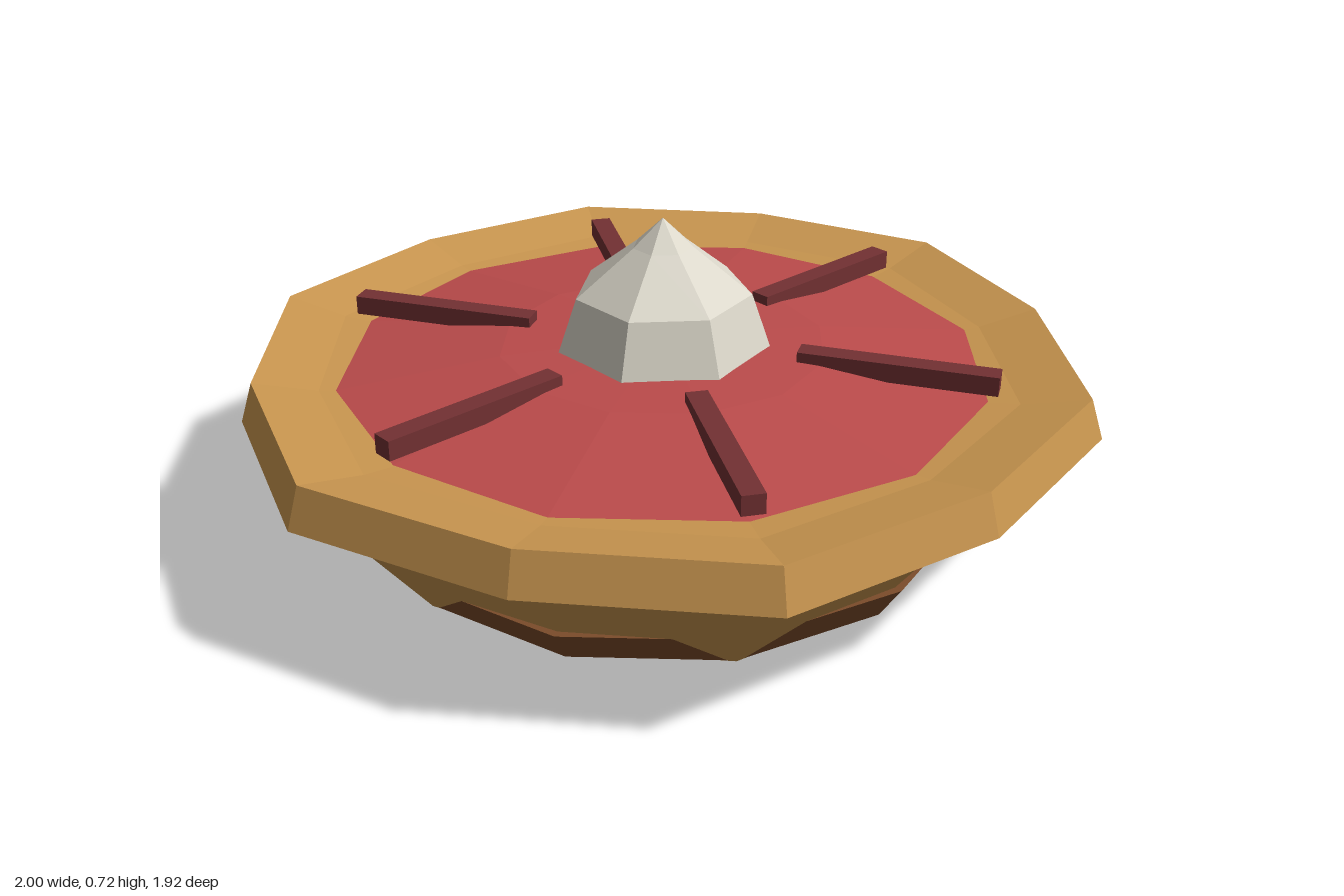
import * as THREE from 'three';

const material = (name, color) => {
  const m = new THREE.MeshStandardMaterial({ color });
  m.name = name;
  return m;
};

// Faceted surface of revolution; profile runs [radius, y] from bottom to top
function facetedLathe(profile, sides, start = 0, oddScale = 1) {
  const points = profile.map(([r, y]) => new THREE.Vector2(r, y));
  const geo = new THREE.LatheGeometry(points, sides, start);
  const pos = geo.attributes.position;
  // every second corner is pulled in a little for a hand-pinched outline
  for (let i = 0; i < pos.count; i++) {
    const side = Math.floor(i / points.length);
    if (side % 2 === 0) pos.setXYZ(i, pos.getX(i) * oddScale, pos.getY(i), pos.getZ(i) * oddScale);
  }
  const flat = geo.toNonIndexed();
  flat.computeVertexNormals();
  return flat;
}

export function createModel() {
  const crustMat = material('golden crust', 0xc8954f);
  const baseMat = material('baked brown', 0x7c4c2a);
  const fillingMat = material('red filling', 0xbb4b4b);
  const stripMat = material('dark red strip', 0x733133);
  const creamMat = material('cream', 0xdad6c9);

  const model = new THREE.Group();
  model.name = 'tart';
  const add = (name, geo, mat) => {
    const mesh = new THREE.Mesh(geo, mat);
    mesh.name = name;
    model.add(mesh);
    return mesh;
  };

  // Crust: bowl, overhanging rim and inner lip in one profile
  add('crust', facetedLathe([
    [0, 0], [0.68, 0], [0.905, 0.295], [1, 0.32], [0.97, 0.412],
    [0.82, 0.378], [0.7, 0.366], [0, 0.36],
  ], 12, 0, 0.96), crustMat);

  // Baked band, showing between the corners of the bowl
  add('baseBand', facetedLathe([
    [0, 0.002], [0.68, 0.002], [0.737, 0.09], [0, 0.09],
  ], 12), baseMat);

  // Slightly domed filling
  add('filling', facetedLathe([[0.75, 0.374], [0.38, 0.42], [0, 0.434]], 12), fillingMat);

  // Radial strips
  const strips = new THREE.Group();
  strips.name = 'strips';
  for (let i = 0; i < 6; i++) {
    const angle = (i * Math.PI) / 3;
    const strip = new THREE.Mesh(new THREE.BoxGeometry(0.45, 0.045, 0.05), stripMat);
    strip.name = 'strip';
    strip.position.set(Math.cos(angle) * 0.547, 0.423, -Math.sin(angle) * 0.547);
    strip.rotation.y = angle;
    strips.add(strip);
  }
  model.add(strips);

  // Peaked cream dollop
  add('creamDollop', facetedLathe([
    [0, 0.4], [0.25, 0.42], [0.205, 0.55], [0.07, 0.657], [0, 0.723],
  ], 7, Math.PI / 2), creamMat);

  return model;
}
